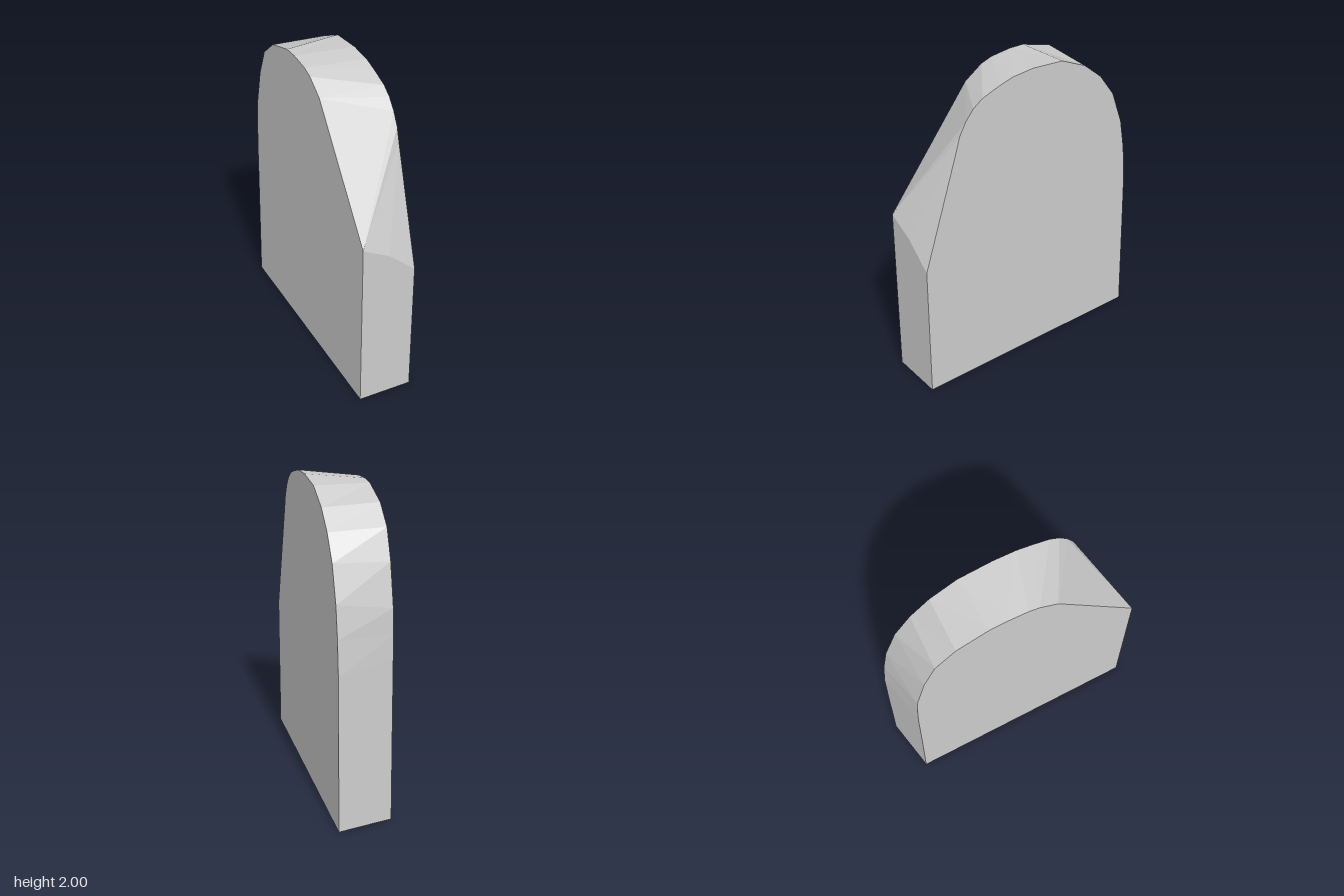
import * as THREE from 'three';

// Rim stations from front foot, over the top, to back foot:
// [left z, left y, right z, right y]; repeated points make triangle fans.
const RIM = [
  [0.795, 0, 0.795, 0],
  [0.795, 0.9, 0.795, 1.14],
  [0.555, 1.645, 0.795, 1.14],
  [0.53, 1.73, 0.795, 1.14],
  [0.485, 1.81, 0.795, 1.14],
  [0.485, 1.81, 0.235, 1.854],
  [0.43, 1.875, 0.235, 1.854],
  [0.365, 1.92, 0.235, 1.854],
  [0.365, 1.92, 0.115, 1.935],
  [0.25, 1.96, 0.04, 1.96],
  [0.15, 1.988, -0.1, 1.975],
  [0, 2, -0.1, 1.975],
  [-0.22, 1.983, -0.2, 1.972],
  [-0.4, 1.9, -0.41, 1.91],
  [-0.53, 1.79, -0.545, 1.8],
  [-0.64, 1.64, -0.625, 1.62],
  [-0.72, 1.42, -0.69, 1.36],
  [-0.755, 1.22, -0.7, 1.2],
  [-0.775, 1.0, -0.707, 1.05],
  [-0.783, 0.65, -0.715, 0.65],
  [-0.795, 0, -0.73, 0],
];
const HALF = 0.174;

// Unshared corners give flat facets.
function facetMesh(name, triangles, material) {
  const geometry = new THREE.BufferGeometry().setFromPoints(triangles.flat());
  geometry.computeVertexNormals();
  const mesh = new THREE.Mesh(geometry, material);
  mesh.name = name;
  return mesh;
}

export function createModel() {
  const group = new THREE.Group();
  group.name = 'roundedSlab';
  const grey = new THREE.MeshStandardMaterial({ color: 0xcccccc });
  grey.name = 'light grey';

  const left = RIM.map(([z, y]) => new THREE.Vector3(HALF, y, z));
  const right = RIM.map(([, , z, y]) => new THREE.Vector3(-HALF, y, z));
  const n = RIM.length;

  // Rim and base, as one closed band of facets
  const rim = [], base = [];
  const add = (list, a, b, c) => {
    if (!a.equals(b) && !b.equals(c) && !c.equals(a)) list.push([a, b, c]);
  };
  const crest = new THREE.Vector3(0, 1.05, 0.795);
  for (let i = 0; i < n; i++) {
    const j = (i + 1) % n;
    const list = j === 0 ? base : rim;
    if (i === 1) {
      // slight peak in the middle of the front edge
      add(rim, right[1], left[1], crest);
      add(rim, right[1], crest, left[2]);
      add(rim, crest, left[1], left[2]);
    } else {
      add(list, right[i], left[i], left[j]);
      add(list, right[i], left[j], right[j]);
    }
  }
  group.add(facetMesh('rim', rim, grey), facetMesh('base', base, grey));

  // Flat side faces, fanned from a middle point
  for (const [name, ring, sign] of [['leftFace', left, 1], ['rightFace', right, -1]]) {
    const middle = new THREE.Vector3(sign * HALF, 0.6, 0);
    const face = [];
    for (let i = 0; i < n; i++) {
      const a = ring[i], b = ring[(i + 1) % n];
      if (sign > 0) add(face, middle, b, a);
      else add(face, middle, a, b);
    }
    group.add(facetMesh(name, face, grey));
  }
  return group;
}
